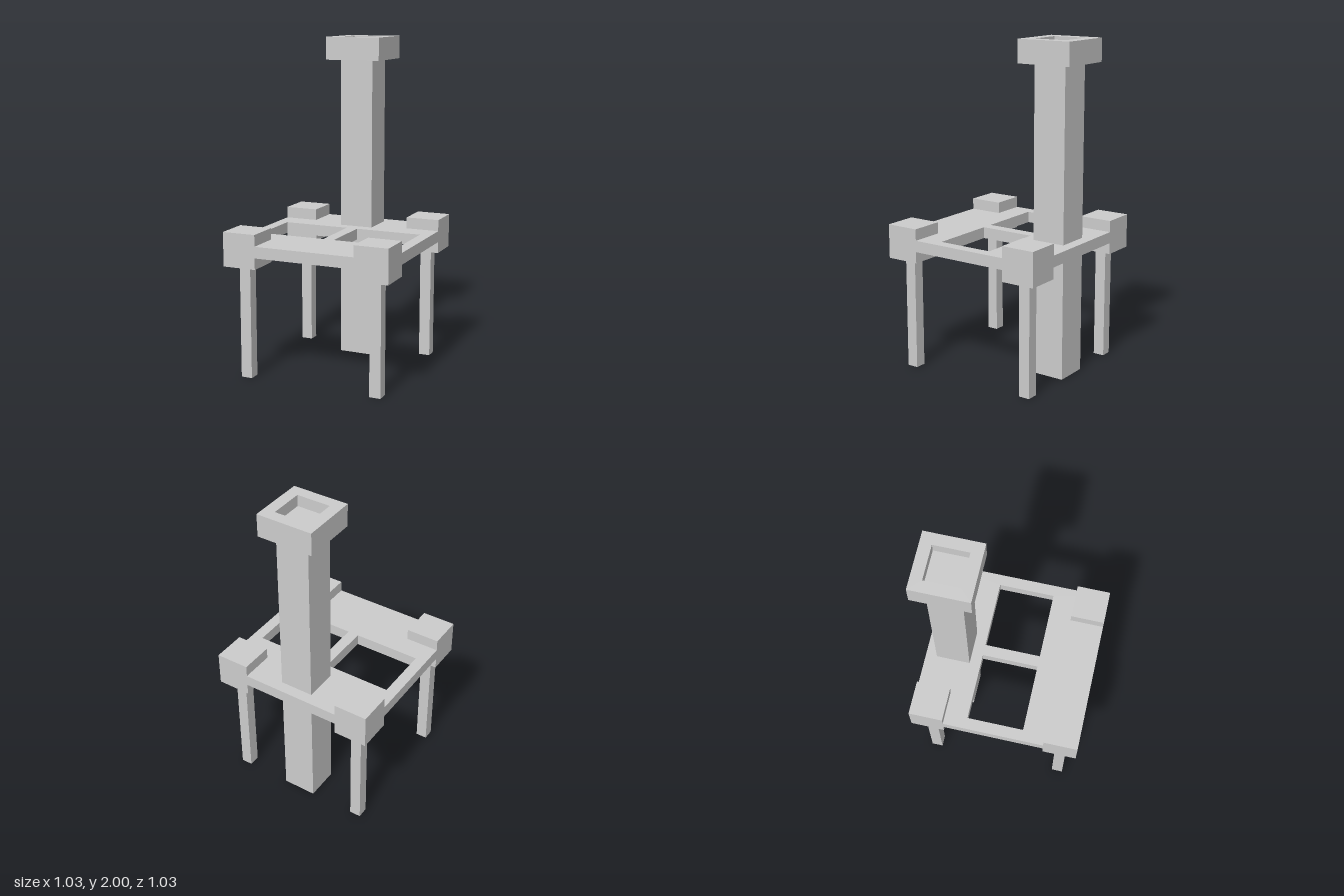
import * as THREE from 'three';

const U = 2 / 29; // one grid unit; the model is 29 units tall
const material = new THREE.MeshStandardMaterial({ color: 0xcccccc, flatShading: true });

// Box given by its centre in x and z, its bottom and its size, in units
function box(name, x, bottom, z, w, h, d) {
  const mesh = new THREE.Mesh(new THREE.BoxGeometry(w * U, h * U, d * U), material);
  mesh.position.set(x * U, (bottom + h / 2) * U, z * U);
  mesh.name = name;
  return mesh;
}

function rectangle(path, x0, z0, x1, z1) {
  path.moveTo(x0 * U, z0 * U);
  path.lineTo(x1 * U, z0 * U);
  path.lineTo(x1 * U, z1 * U);
  path.lineTo(x0 * U, z1 * U);
  path.closePath();
  return path;
}

// Square horizontal slab with rectangular holes, given as [x0, z0, x1, z1]
function slab(name, half, holes, bottom, height, z) {
  const shape = rectangle(new THREE.Shape(), -half, -half, half, half);
  for (const hole of holes) shape.holes.push(rectangle(new THREE.Path(), ...hole));
  const geometry = new THREE.ExtrudeGeometry(shape, { depth: height * U, bevelEnabled: false });
  geometry.rotateX(-Math.PI / 2);
  const mesh = new THREE.Mesh(geometry, material);
  mesh.position.set(0, bottom * U, z * U);
  mesh.name = name;
  return mesh;
}

export function createModel() {
  const model = new THREE.Group();
  model.name = 'towerPlatform';

  // Platform with two openings either side of a narrow bridge
  model.add(slab('platform', 7.5, [[-6.5, -2.5, -0.5, 2.5], [0.5, -2.5, 6.5, 2.5]], 11, 1, 0));

  // Corner blocks and their legs
  for (const [sx, side] of [[1, 'Left'], [-1, 'Right']]) {
    for (const [sz, end] of [[1, 'front'], [-1, 'back']]) {
      model.add(box(`${end}${side}Block`, sx * 6, 10, sz * 6, 3, 3, 3));
      model.add(box(`${end}${side}Leg`, sx * 6, 0, sz * 6, 1, 10, 1));
    }
  }

  // Column whose top forms the floor of the recessed cap
  model.add(box('column', 0, 0, -5, 3, 28, 3));
  model.add(slab('columnCap', 2.5, [[-1.5, -1.5, 1.5, 1.5]], 27, 2, -5));

  return model;
}
